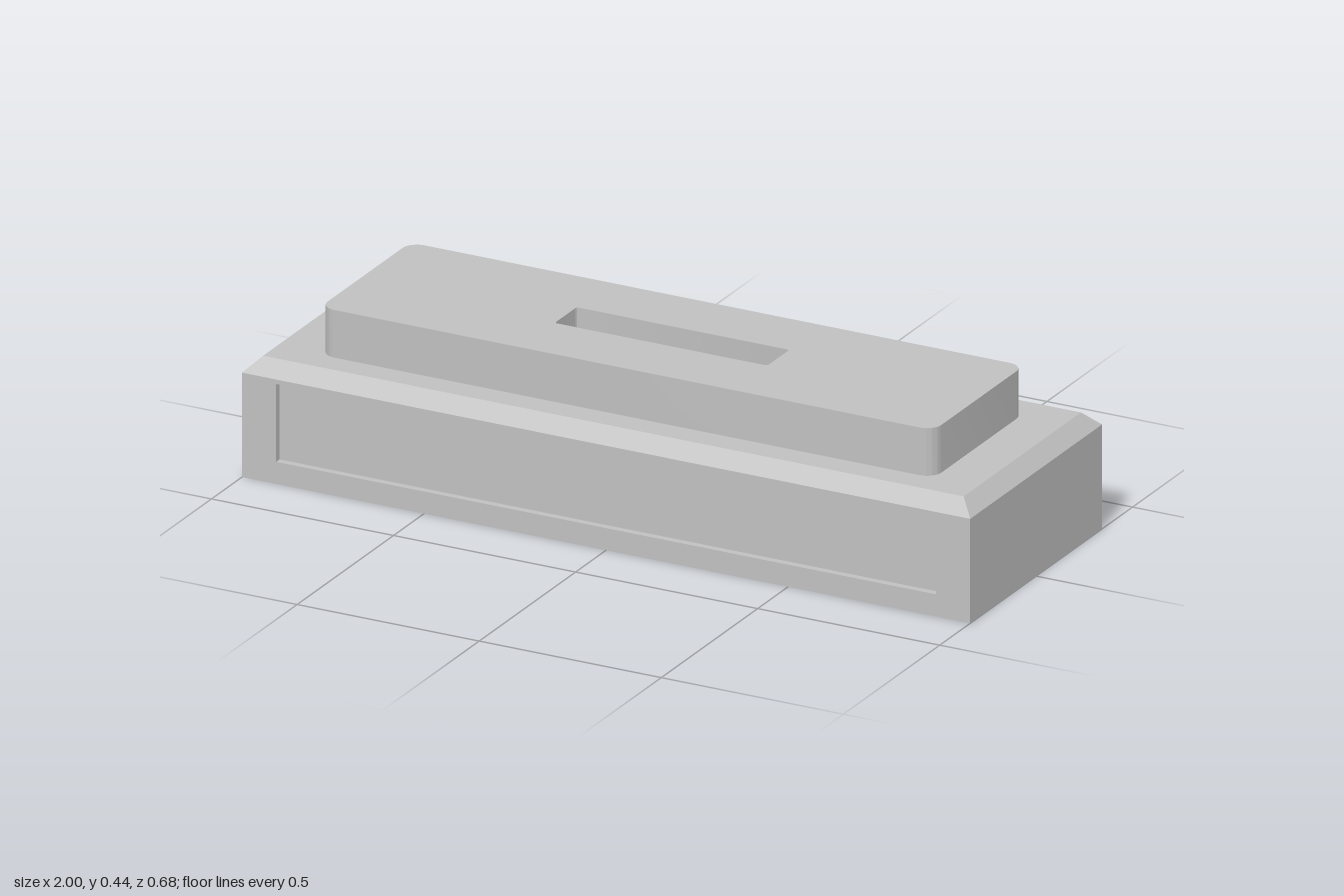
import * as THREE from 'three';
import { toCreasedNormals } from 'three/addons/utils/BufferGeometryUtils.js';

const HX = 1, HZ = 0.342, WALL_TOP = 0.274, BASE_TOP = 0.312, CHAMFER = 0.038, TOP = 0.437;
const POCKET = { x: 0.906, y0: 0.058, y1: 0.262, depth: 0.018 };

// Horizontal rectangle of corners, counter-clockwise seen from above
const ring = (x, y, z) => [[-x, y, z], [x, y, z], [x, y, -z], [-x, y, -z]];

// Upright rectangle of corners, counter-clockwise seen from the front
const panel = (x, y0, y1, z) => [[-x, y0, z], [x, y0, z], [x, y1, z], [-x, y1, z]];

// Flat-faced geometry from four-cornered faces
function quads(faces) {
  const points = faces.flatMap(([a, b, c, d]) => [a, b, c, a, c, d]).flat();
  const geometry = new THREE.BufferGeometry();
  geometry.setAttribute('position', new THREE.Float32BufferAttribute(points, 3));
  geometry.computeVertexNormals();
  return geometry;
}

// Faces joining two matching loops of four corners
const loft = (low, high) => low.map((p, i) => {
  const j = (i + 1) % 4;
  return [p, low[j], high[j], high[i]];
});

// Traces a rounded rectangle centred on the origin
function roundedRect(path, x, y, r) {
  path.moveTo(-x + r, -y);
  path.lineTo(x - r, -y);
  path.absarc(x - r, -y + r, r, -Math.PI / 2, 0);
  path.lineTo(x, y - r);
  path.absarc(x - r, y - r, r, 0, Math.PI / 2);
  path.lineTo(-x + r, y);
  path.absarc(-x + r, y - r, r, Math.PI / 2, Math.PI);
  path.lineTo(-x, -y + r);
  path.absarc(-x + r, -y + r, r, Math.PI, Math.PI * 1.5);
  return path;
}

export function createModel() {
  const model = new THREE.Group();
  model.name = 'slottedBlock';
  const grey = new THREE.MeshStandardMaterial({ color: 0xc0c0c0 });
  grey.name = 'grey';
  const add = (name, geometry) => {
    const mesh = new THREE.Mesh(geometry, grey);
    mesh.name = name;
    model.add(mesh);
    return mesh;
  };

  // Base: side walls (front left open), chamfered rim, top and underside
  const foot = ring(HX, 0, HZ);
  const shoulder = ring(HX, WALL_TOP, HZ);
  const deck = ring(HX - CHAMFER, BASE_TOP, HZ - CHAMFER);
  add('base', quads([
    ...loft(foot, shoulder).slice(1),
    ...loft(shoulder, deck),
    deck,
    [...foot].reverse(),
  ]));

  // Front wall with a rectangular opening
  const corners = (x, y0, y1) => panel(x, y0, y1, 0).map(([px, py]) => new THREE.Vector2(px, py));
  const wall = new THREE.Shape(corners(HX, 0, WALL_TOP));
  wall.holes.push(new THREE.Path(corners(POCKET.x, POCKET.y0, POCKET.y1)));
  add('frontWall', new THREE.ShapeGeometry(wall)).position.z = HZ;

  // Shallow pocket behind the opening
  const rim = panel(POCKET.x, POCKET.y0, POCKET.y1, HZ);
  const floor = panel(POCKET.x, POCKET.y0, POCKET.y1, HZ - POCKET.depth);
  add('frontPocket', quads([...loft(floor, rim).map((f) => f.reverse()), floor]));

  // Raised plate with rounded corners and a central slot
  const plate = roundedRect(new THREE.Shape(), 0.843, 0.234, 0.04);
  plate.holes.push(roundedRect(new THREE.Path(), 0.292, 0.057, 0.008));
  const raised = new THREE.ExtrudeGeometry(plate, {
    depth: TOP - BASE_TOP, bevelEnabled: false, curveSegments: 10,
  });
  raised.rotateX(-Math.PI / 2);
  raised.translate(0, BASE_TOP, 0);
  add('raisedPlate', toCreasedNormals(raised, 0.6));

  return model;
}
